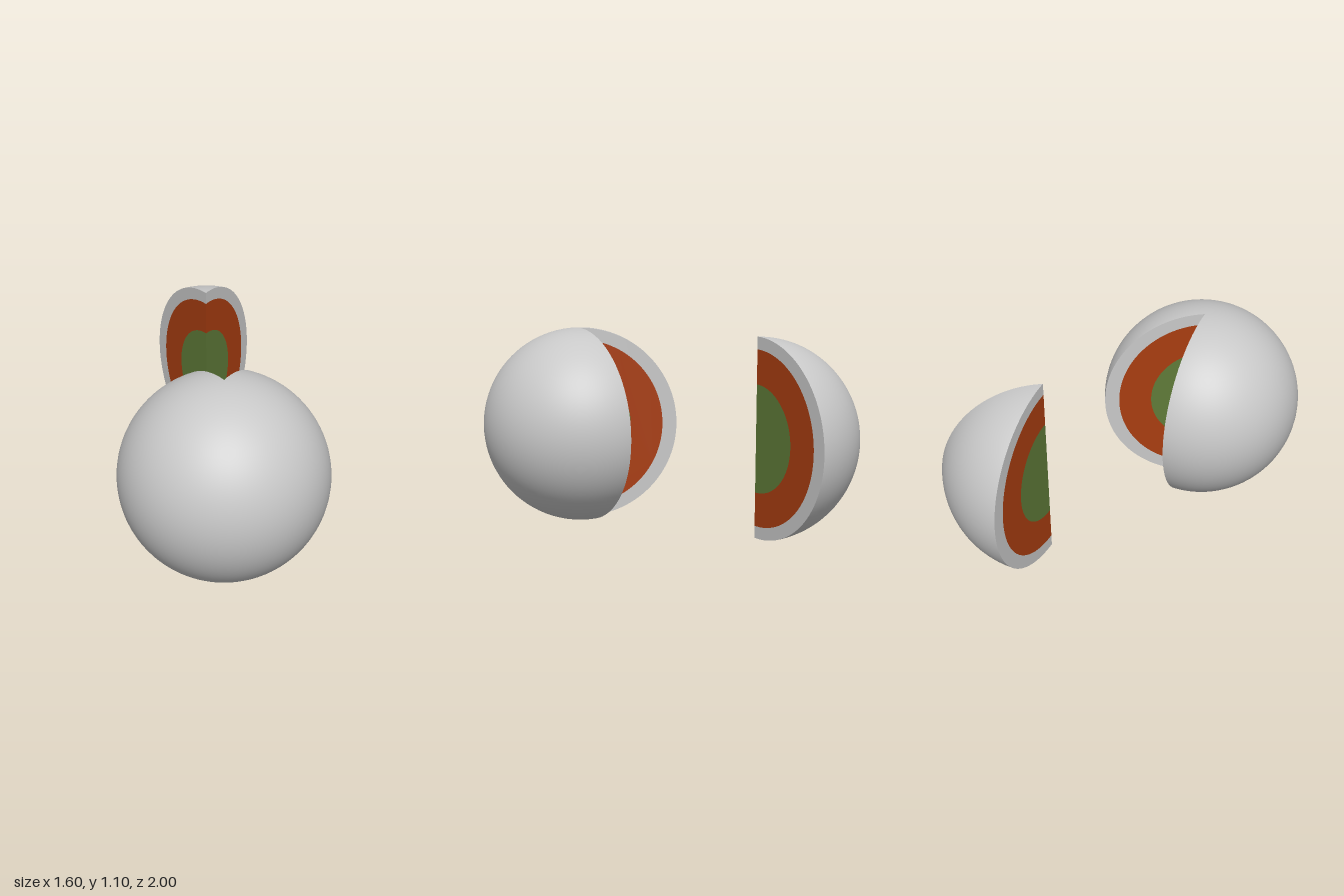
import * as THREE from 'three';

const R = 0.551;
const skin = new THREE.MeshStandardMaterial({ name: 'grey shell', color: 0xc8c8c8 });
const mantle = new THREE.MeshStandardMaterial({ name: 'rust layer', color: 0xa83d10 });
const core = new THREE.MeshStandardMaterial({ name: 'green core', color: 0x5f7a38 });

// Layers from outside in: horizontal and vertical radius
const layers = [
  { name: 'shellCut', material: skin, rx: R, ry: R },
  { name: 'mantleCut', material: mantle, rx: 0.47, ry: 0.483 },
  { name: 'coreCut', material: core, rx: 0.287, ry: 0.296 },
];

// Half-disc band between a layer and the next one inside it
function bandGeometry(outer, inner) {
  const shape = new THREE.Shape();
  shape.moveTo(0, -outer.ry);
  shape.absellipse(0, 0, outer.rx, outer.ry, -Math.PI / 2, Math.PI / 2, false);
  if (inner) {
    shape.lineTo(0, inner.ry);
    shape.absellipse(0, 0, inner.rx, inner.ry, Math.PI / 2, -Math.PI / 2, true);
  }
  shape.closePath();
  return new THREE.ShapeGeometry(shape, 48);
}

// Flat cut face showing the layers; the end face is turned to look outwards
function cutFace(phi, isEnd) {
  const face = new THREE.Group();
  face.name = isEnd ? 'endCutFace' : 'startCutFace';
  layers.forEach((layer, i) => {
    const geometry = bandGeometry(layer, layers[i + 1]);
    if (isEnd) geometry.rotateZ(Math.PI);
    const mesh = new THREE.Mesh(geometry, layer.material);
    mesh.name = layer.name;
    face.add(mesh);
  });
  face.rotation.y = isEnd ? phi : phi + Math.PI;
  return face;
}

// Part of a layered ball between two angles about its upright axis
function ballSector(name, startDegrees, sweepDegrees, x, z) {
  const start = THREE.MathUtils.degToRad(startDegrees);
  const sweep = THREE.MathUtils.degToRad(sweepDegrees);
  const sector = new THREE.Group();
  sector.name = name;
  const segments = Math.round(sweepDegrees / 5);
  const shell = new THREE.Mesh(new THREE.SphereGeometry(R, segments, 48, start, sweep), skin);
  shell.name = 'outerShell';
  sector.add(shell, cutFace(start, false), cutFace(start + sweep, true));
  sector.position.set(x, R, z);
  return sector;
}

export function createModel() {
  const model = new THREE.Group();
  model.name = 'layeredBall';
  model.add(ballSector('mainBall', 330, 300, 0.249, 0.449));
  model.add(ballSector('removedWedge', 270, 60, -0.323, -0.449));
  return model;
}
